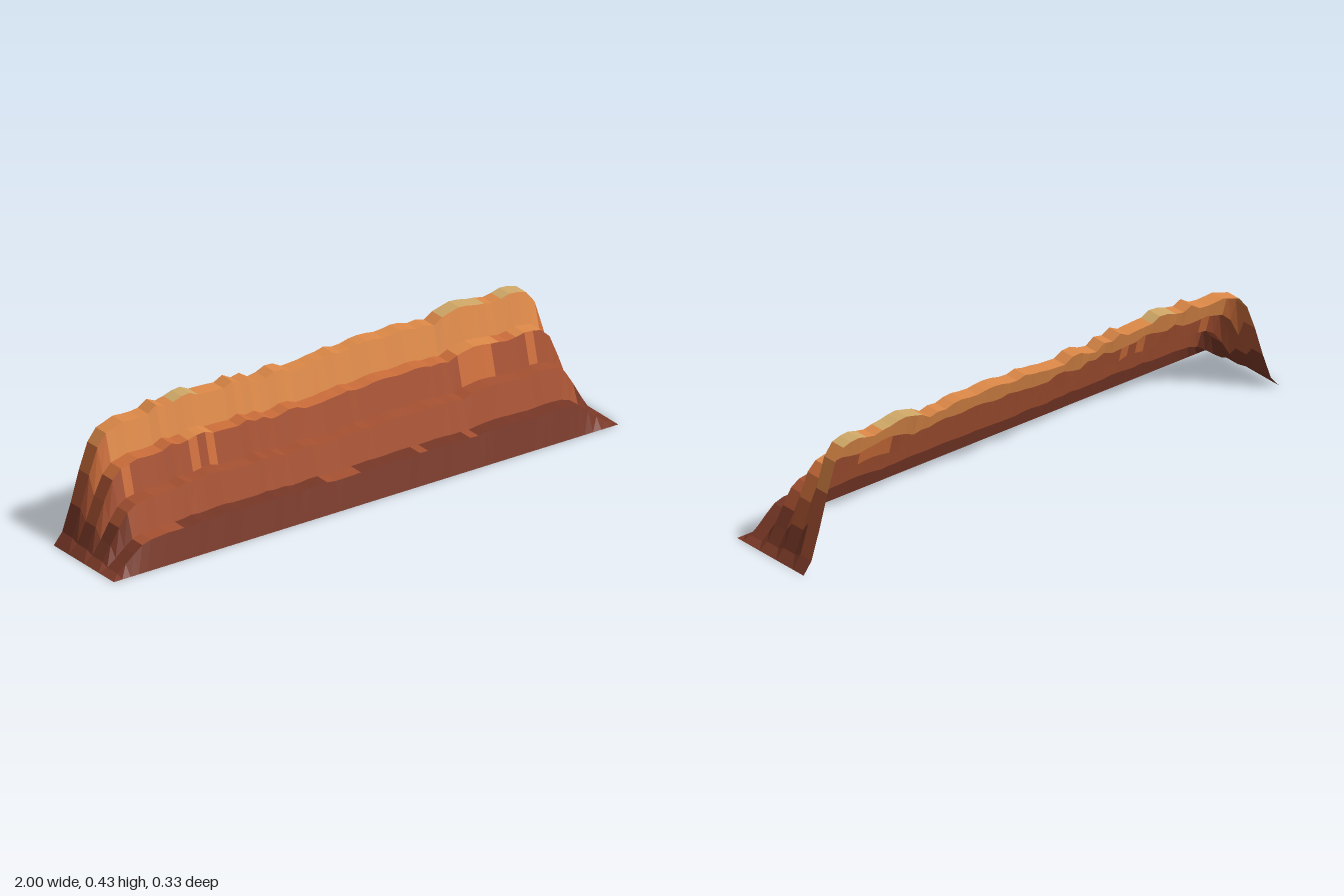
import * as THREE from 'three';

// Ridge height at each of 61 evenly spaced stations along x
const ridge = [
  0, .04, .135, .245, .335, .377, .388, .40, .397, .396, .40, .422, .407, .414, .425,
  .428, .412, .411, .409, .406, .423, .405, .412, .39, .396, .41, .408, .39, .392, .394,
  .40, .403, .411, .402, .404, .412, .415, .413, .408, .41, .415, .412, .402, .405, .396,
  .416, .425, .433, .43, .422, .418, .41, .416, .425, .422, .412, .37, .265, .147, .043, 0,
];
const columns = ridge.length - 1;
const cell = 1 / 36;

// Stations where a harder, lighter rock shows through
const lowLedgePatches = new Set([4, 5, 6, 7, 8, 26, 27, 28, 29, 37, 43]);
const thirdWallPatches = new Set([5, 13, 15, 45, 46, 47, 48, 53]);

// Rock layers from bottom to top
const layers = [
  ['darkBrownRock', 0x793827],
  ['rustRock', 0xa85232],
  ['burntOrangeRock', 0xcf6f3b],
  ['orangeRock', 0xdf8a48],
  ['tanRock', 0xd2aa68],
];

// Picks the rock layer for one cell from its mean height
function layerOf(step, isWall, column, height) {
  if (step === 0 && !isWall && lowLedgePatches.has(column)) return 1;
  if (height < (step < 2 ? 0.115 : 0.092)) return 0;
  if (step === 2 && isWall) return thirdWallPatches.has(column) ? 2 : 1;
  if (height < 0.23) return 1;
  if (height < 0.312) return 2;
  return height < 0.417 ? 3 : 4;
}

// Strip of cells between two long edges, each given as [z, share of ridge height]
function strip(front, back, step, isWall) {
  const buckets = layers.map(() => []);
  const point = (i, [z, share]) => [-1 + (2 * i) / columns, ridge[i] * share, z];
  for (let i = 0; i < columns; i++) {
    const a = point(i, front), b = point(i + 1, front);
    const c = point(i + 1, back), d = point(i, back);
    const mean = (a[1] + b[1] + c[1] + d[1]) / 4;
    buckets[layerOf(step, isWall, i, mean)].push(...a, ...b, ...c, ...a, ...c, ...d);
  }
  const geometry = new THREE.BufferGeometry();
  geometry.setAttribute('position', new THREE.Float32BufferAttribute(buckets.flat(), 3));
  let start = 0;
  buckets.forEach((bucket, layer) => {
    const count = bucket.length / 3;
    if (count) geometry.addGroup(start, count, layer);
    start += count;
  });
  geometry.computeVertexNormals();
  return geometry;
}

export function createModel() {
  const model = new THREE.Group();
  model.name = 'terracedCliff';

  const materials = layers.map(([name, color]) => {
    const material = new THREE.MeshStandardMaterial({ color, flatShading: true, side: THREE.DoubleSide });
    material.name = name;
    return material;
  });

  // Four terraces, each a steep wall and a flat ledge behind it
  for (let step = 0; step < 4; step++) {
    const z = 6 * cell - step * 3 * cell;
    const low = step / 4, high = (step + 1) / 4;
    const foot = [z, low], brow = [z - cell, high], heel = [z - 3 * cell, high];

    const terrace = new THREE.Group();
    terrace.name = `terrace${step + 1}`;
    const wall = new THREE.Mesh(strip(foot, brow, step, true), materials);
    wall.name = 'cliffWall';
    const ledge = new THREE.Mesh(strip(brow, heel, step, false), materials);
    ledge.name = 'ledge';
    terrace.add(wall, ledge);
    model.add(terrace);
  }
  return model;
}
